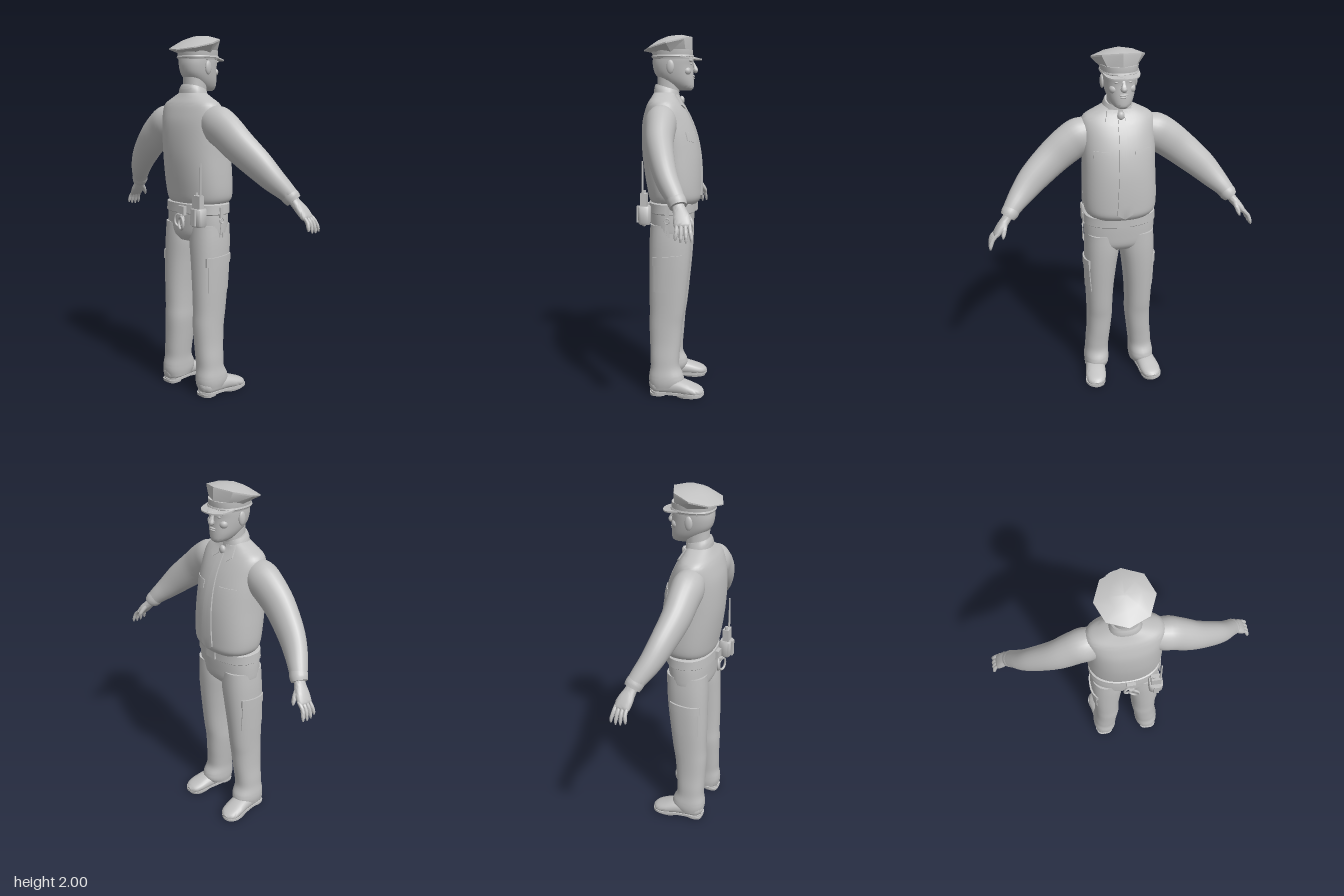
import * as THREE from 'three';
import { toCreasedNormals } from 'three/addons/utils/BufferGeometryUtils.js';

const V = (x, y, z) => new THREE.Vector3(x, y, z);
const Y = V(0, 1, 0), Z = V(0, 0, 1);
const grey = new THREE.MeshStandardMaterial({ color: 0xc0c0c0 });
grey.name = 'plain grey';

// Catmull-Rom blend of section rows at t in 0..rows-1
function rowAt(rows, t) {
  const n = rows.length - 1, i = Math.min(Math.floor(t), n - 1), f = t - i;
  const [a, b, c, d] = [rows[Math.max(i - 1, 0)], rows[i], rows[i + 1], rows[Math.min(i + 2, n)]];
  return b.map((q, k) => q + 0.5 * f * (c[k] - a[k] + f * (2 * a[k] - 5 * q + 4 * c[k] - d[k]
    + f * (3 * (q - c[k]) + d[k] - a[k]))));
}
const sp = (v, e) => Math.sign(v) * Math.abs(v) ** e;

function build(pos, idx, crease = 0.8) {
  const g = new THREE.BufferGeometry();
  g.setAttribute('position', new THREE.Float32BufferAttribute(pos, 3));
  g.setIndex(idx);
  return toCreasedNormals(g, crease);
}

// Closed skin through rows [x, y, z, halfWidth, halfDepth, squareness]
function loft(rows, { seg = 24, ref = Z, dir = null, steps = 4, rule = null, crease = 0.8 } = {}) {
  const pos = [], idx = [], n = (rows.length - 1) * steps, T = rows.length - 1;
  const put = (p) => { if (rule) rule(p); pos.push(p.x, p.y, p.z); };
  for (let i = 0; i <= n; i++) {
    const t = i / steps, r = rowAt(rows, t);
    const c0 = rowAt(rows, Math.max(t - 0.1, 0)), c1 = rowAt(rows, Math.min(t + 0.1, T));
    const d = dir || V(c1[0] - c0[0], c1[1] - c0[1], c1[2] - c0[2]).normalize();
    const v = ref.clone().addScaledVector(d, -ref.dot(d)).normalize(), u = d.clone().cross(v);
    for (let j = 0; j < seg; j++) {
      const a = j / seg * Math.PI * 2, e = 2 / r[5];
      put(V(r[0], r[1], r[2]).addScaledVector(u, r[3] * sp(Math.cos(a), e)).addScaledVector(v, r[4] * sp(Math.sin(a), e)));
      if (i < n) {
        const k = (j + 1) % seg, A = i * seg + j, B = i * seg + k;
        idx.push(A, A + seg, B, B, A + seg, B + seg);
      }
    }
  }
  const s = (n + 1) * seg;
  put(V(...rows[0])); put(V(...rows[T]));
  for (let j = 0; j < seg; j++) {
    const k = (j + 1) % seg;
    idx.push(s, j, k, s + 1, n * seg + k, n * seg + j);
  }
  return build(pos, idx, crease);
}
const level = (y, a, zf, zb, x = 0, p = 2.3) => [x, y, (zf + zb) / 2, a, (zb - zf) / 2, p];
const upright = (rows, o = {}) => loft(rows, { dir: Y, ...o });

// Thin raised plate on a surface f(u, v, offset); its rim is sunk into the surface
function plate(f, off = 0.006, n = 10) {
  const t = [0, ...Array.from({ length: n + 1 }, (_, i) => i / n), 1], m = t.length, pos = [], idx = [];
  for (let i = 0; i < m; i++) for (let j = 0; j < m; j++) {
    const rim = i === 0 || j === 0 || i === m - 1 || j === m - 1;
    pos.push(...f(t[j], t[i], rim ? -0.004 : off));
    const a = i * m + j;
    if (i < m - 1 && j < m - 1) idx.push(a, a + m, a + 1, a + 1, a + m, a + m + 1);
  }
  return build(pos, idx);
}

// Surface depth of an upright loft at height y and sideways distance d from its centre
function findRow(rows, y) {
  let lo = 0, hi = rows.length - 1;
  for (let i = 0; i < 30; i++) { const m = (lo + hi) / 2; if (rowAt(rows, m)[1] < y) lo = m; else hi = m; }
  return rowAt(rows, lo);
}
const bulge = (d, half, p) => Math.max(0, 1 - Math.abs(d / half) ** p) ** (1 / p);

function mirrored(g) {
  const m = g.clone().scale(-1, 1, 1), old = m.index, ids = [];
  const n = old ? old.count : m.attributes.position.count, at = (i) => (old ? old.getX(i) : i);
  for (let i = 0; i < n; i += 3) ids.push(at(i), at(i + 2), at(i + 1));
  m.setIndex(ids);
  return m;
}

export function createModel() {
  const root = new THREE.Group();
  root.name = 'uniformedOfficer';
  const add = (name, g) => { const m = new THREE.Mesh(g, grey); m.name = name; root.add(m); return m; };
  const pair = (name, g) => { add(name + 'Left', g); add(name + 'Right', mirrored(g)); };
  const box = (w, h, d, x, y, z) => new THREE.BoxGeometry(w, h, d).translate(x, y, z);
  const ball = (x, y, z, a, b, c) => new THREE.SphereGeometry(1, 16, 12).scale(a, b, c).translate(x, y, z);

  // Shirt body
  const torso = [level(1.08, .172, -.135, .122), level(1.11, .195, -.154, .135), level(1.16, .203, -.157, .145),
    level(1.25, .203, -.156, .16), level(1.35, .2, -.148, .172), level(1.45, .2, -.128, .175), level(1.53, .2, -.1, .17),
    level(1.59, .2, -.07, .155), level(1.63, .185, -.045, .14), level(1.66, .135, -.028, .122), level(1.69, .075, -.018, .105)];
  add('shirtBody', upright(torso, { seg: 40 }));
  const chest = (x, y, off) => { const r = findRow(torso, y); return [x, y, r[2] - r[4] * bulge(x, r[3], r[5]) - off]; };

  // Tie, collar and chest pocket flaps
  add('tie', plate((u, v, o) => {
    const s = 2 * u - 1, w = .043 - .027 * v;
    return chest(s * w, 1.095 + .54 * v + .03 * Math.abs(s) * (1 - v), o);
  }, .008, 14));
  add('tieKnot', ball(0, 1.645, -.045, .02, .024, .016));
  add('collarBand', upright([level(1.66, .088, -.034, .108), level(1.695, .08, -.032, .106), level(1.72, .07, -.03, .098)],
    { rule: (p) => { p.y += (p.z - .05) * .3; } }));
  pair('collarPoint', plate((u, v, o) => chest(.012 + .058 * u + .012 * (1 - v), 1.675 - (1 - v) * (.035 + .04 * (1 - Math.abs(u - .5))), o), .009));
  pair('chestPocketFlap', plate((u, v, o) => chest(.06 + .095 * u, 1.43 + .045 * v - .012 * (1 - v) * (1 - Math.abs(2 * u - 1)), o), .004));

  // Sleeves with cuffs
  pair('sleeve', loft([[.1, 1.555, .05, .06, .06, 2], [.19, 1.525, .05, .1, .084, 2], [.26, 1.485, .048, .102, .08, 2],
    [.35, 1.415, .042, .095, .073, 2], [.46, 1.322, .012, .083, .064, 2], [.53, 1.252, -.018, .068, .057, 2],
    [.58, 1.2, -.05, .053, .05, 2], [.612, 1.162, -.073, .044, .043, 2]]));
  pair('cuff', loft([[.597, 1.18, -.062, .046, .046, 2], [.612, 1.16, -.073, .047, .047, 2], [.625, 1.143, -.08, .04, .043, 2]]));

  // Hands
  pair('palm', loft([[.61, 1.165, -.072, .026, .03, 2], [.635, 1.13, -.085, .024, .032, 2.2], [.665, 1.095, -.098, .022, .041, 2.5],
    [.692, 1.062, -.106, .016, .041, 2.5], [.697, 1.054, -.107, .008, .03, 2.5]]));
  for (let i = 0; i < 4; i++) {
    const z = -.076 - i * .021, reach = [.8, .96, 1, .92][i];
    pair('finger' + (i + 1), loft([[.68, 1.075, z, .009, .009, 2], [.712, 1.045, z - .003, .011, .01, 2],
      [.712 + .016 * reach, 1.045 - .038 * reach, z - .005 + (1.5 - i) * .004, .0095, .009, 2],
      [.712 + .02 * reach, 1.045 - .06 * reach, z - .005 + (1.5 - i) * .005, .004, .004, 2]], { seg: 10 }));
  }
  pair('thumb', loft([[.637, 1.125, -.1, .013, .016, 2], [.648, 1.095, -.13, .013, .013, 2],
    [.656, 1.068, -.148, .011, .01, 2], [.66, 1.05, -.154, .004, .004, 2]], { seg: 10 }));

  // Trousers
  add('trouserSeat', upright([level(.875, .16, -.085, .1), level(.91, .193, -.108, .122), level(.97, .198, -.115, .127),
    level(1.04, .195, -.118, .127), level(1.08, .185, -.115, .12)], { seg: 40 }));
  const leg = [level(.045, .068, -.05, .118, .14), level(.075, .073, -.07, .126, .14), level(.11, .073, -.068, .126, .139),
    level(.16, .069, -.045, .118, .135), level(.22, .07, -.045, .12, .13), level(.3, .071, -.052, .122, .122),
    level(.4, .075, -.06, .126, .116), level(.48, .076, -.072, .124, .116), level(.6, .081, -.085, .126, .115),
    level(.75, .091, -.1, .126, .109), level(.87, .099, -.108, .125, .101), level(.97, .094, -.108, .12, .1)];
  pair('trouserLeg', upright(leg));
  const thigh = (z, y, o) => { const r = findRow(leg, y); return [r[0] + r[3] * bulge(z - r[2], r[4], r[5]) + o, y, z]; };
  pair('cargoPocket', plate((u, v, o) => thigh(-.06 + .155 * u, .6 + .17 * v, o), .004));
  pair('cargoPocketFlap', plate((u, v, o) => thigh(-.066 + .17 * u, .745 + .05 * v + .015 * (1 - u), o), .009));

  // Shoes: upper, sole and heel
  pair('shoeUpper', loft([[.145, .045, .118, .026, .026, 2], [.146, .052, .09, .052, .042, 2.3], [.15, .054, .02, .056, .046, 2.3],
    [.158, .052, -.05, .058, .042, 2.3], [.168, .04, -.115, .06, .032, 2.3], [.173, .03, -.16, .048, .024, 2.3],
    [.175, .026, -.182, .02, .014, 2]], { ref: Y }));
  const outline = new THREE.Shape(new THREE.SplineCurve([[.145, -.122], [.2, -.09], [.204, -.02], [.217, .06], [.232, .125],
    [.215, .17], [.175, .187], [.135, .17], [.11, .12], [.105, .05], [.097, -.02], [.096, -.09], [.145, -.122]]
    .map((p) => new THREE.Vector2(...p))).getPoints(48));
  pair('shoeSole', new THREE.ExtrudeGeometry(outline, { depth: .014, bevelEnabled: false }).rotateX(-Math.PI / 2).translate(0, .012, 0));
  pair('shoeFrontTread', upright([level(0, .054, -.178, -.03, .167), level(.014, .057, -.182, -.025, .167)], { steps: 1 }));
  pair('shoeHeel', upright([level(0, .05, .03, .118, .147, 3), level(.016, .052, .03, .121, .147, 3)], { steps: 1 }));

  // Belt with buckle
  add('belt', upright([level(1.03, .197, -.122, .13), level(1.035, .203, -.128, .136), level(1.085, .2, -.128, .134),
    level(1.09, .19, -.12, .126)], { seg: 40, steps: 1 }));
  add('buckle', box(.07, .045, .01, 0, 1.058, -.13));

  // Two-way radio in its holder
  add('radioHolder', upright([level(.975, .033, .115, .17, .155, 4), level(.985, .038, .112, .178, .155, 4),
    level(1.07, .04, .112, .18, .155, 4), level(1.075, .036, .115, .176, .155, 4)], { steps: 1 }));
  add('radioBody', box(.056, .12, .036, .155, 1.085, .148));
  add('radioClip', box(.03, .09, .012, .155, 1.03, .182));
  add('radioKnob', new THREE.CylinderGeometry(.009, .009, .022, 12).translate(.142, 1.15, .148));
  add('radioAntenna', new THREE.CylinderGeometry(.004, .0065, .185, 10).translate(.178, 1.23, .152));

  // Handcuffs hanging from a loop
  add('cuffLoop', box(.05, .05, .022, .02, 1.05, .143));
  [[.006, .995, .15, .3], [.034, .982, .163, -.3]].forEach(([x, y, z, a], i) =>
    add('handcuff' + (i + 1), new THREE.TorusGeometry(.032, .006, 8, 24).scale(.9, 1.1, 1.2).rotateY(a).translate(x, y, z)));
  add('handcuffHinge', box(.03, .018, .02, .02, 1.022, .158));

  // Keys at the hip
  add('keyStrap', box(.012, .06, .022, .2, 1.045, .018));
  add('keyRing', new THREE.TorusGeometry(.014, .003, 8, 16).rotateY(Math.PI / 2).translate(.206, 1.0, .018));
  [-.12, .12].forEach((a, i) => add('key' + (i + 1), box(.005, .08, .011, 0, -.045, 0).rotateX(a).translate(.205, .993, .018)));

  // Neck and head
  add('neck', upright([level(1.64, .062, -.02, .095), level(1.71, .06, -.035, .09), level(1.78, .06, -.04, .09)]));
  add('head', upright([level(1.698, .022, -.098, -.03), level(1.712, .046, -.11, .01), level(1.745, .066, -.112, .06),
    level(1.785, .078, -.11, .1), level(1.83, .085, -.107, .114), level(1.87, .087, -.11, .114), level(1.91, .084, -.098, .108)], { seg: 32, crease: 1.2 }));
  add('nose', loft([[0, 1.853, -.104, .009, .006, 2], [0, 1.825, -.114, .011, .012, 2], [0, 1.806, -.118, .018, .017, 2],
    [0, 1.796, -.112, .012, .01, 2]], { seg: 14, crease: 1.2 }));
  add('upperLip', ball(0, 1.774, -.108, .025, .006, .01));
  add('lowerLip', ball(0, 1.763, -.107, .021, .006, .01));
  pair('eye', ball(.033, 1.838, -.095, .013, .007, .009));
  pair('brow', ball(.034, 1.856, -.096, .023, .007, .012).rotateY(-.05));
  pair('ear', ball(.089, 1.822, .01, .011, .037, .021));
  pair('cheek', ball(.045, 1.8, -.075, .025, .024, .024));

  // Peaked cap: band, crown and visor
  add('capBand', upright([level(1.865, .095, -.104, .112), level(1.875, .098, -.108, .116), level(1.915, .1, -.106, .118)], { seg: 32, steps: 1 }));
  add('capBandTrim', upright([level(1.872, .1, -.11, .118), level(1.878, .103, -.113, .121), level(1.886, .1, -.11, .118)], { seg: 32, steps: 1 }));
  add('capCrown', upright([level(1.9, .099, -.104, .117, 0, 2), level(1.942, .143, -.104, .163, 0, 2), level(1.95, .143, -.102, .163, 0, 2),
    level(1.977, .075, -.045, .1, 0, 2), level(1.988, .01, .02, .04, 0, 2)],
  { seg: 8, steps: 1, crease: .5, rule: (p) => { p.y -= .26 * (p.z - .03) * Math.min(1, (p.y - 1.9) / .045); } }));
  const brim = new THREE.Shape();
  brim.moveTo(-.096, .03);
  brim.bezierCurveTo(-.1, .115, -.06, .155, 0, .155);
  brim.bezierCurveTo(.06, .155, .1, .115, .096, .03);
  brim.quadraticCurveTo(.07, .095, 0, .098);
  brim.quadraticCurveTo(-.07, .095, -.096, .03);
  const visor = new THREE.ExtrudeGeometry(brim, { depth: .007, bevelEnabled: false, curveSegments: 16 }).rotateX(-Math.PI / 2);
  const vp = visor.attributes.position;
  for (let i = 0; i < vp.count; i++) vp.setY(i, vp.getY(i) + 1.882 + .22 * (vp.getZ(i) + .06) - 1.2 * vp.getX(i) ** 2);
  visor.computeVertexNormals();
  add('capVisor', visor);
  return root;
}
